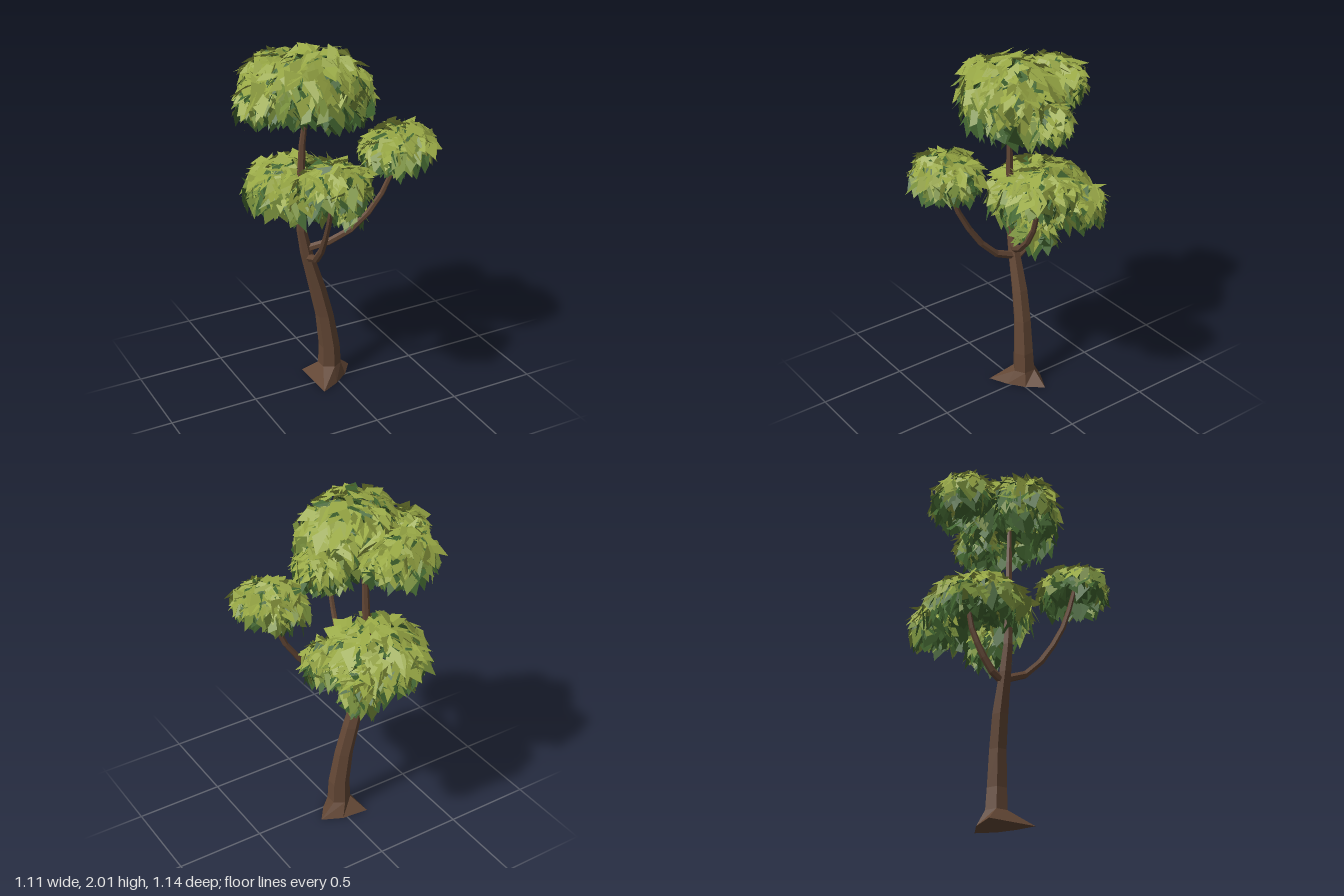
import * as THREE from 'three';

const bark = new THREE.MeshStandardMaterial({ name: 'bark', color: 0x634735, flatShading: true });
const leafMat = (name, color) =>
  new THREE.MeshStandardMaterial({ name, color, flatShading: true, side: THREE.DoubleSide });
const sunLeaf = leafMat('sunlit leaf', 0x98a845);
const midLeaf = leafMat('middle leaf', 0x788f3c);
const shadeLeaf = leafMat('shade leaf', 0x426630);

// Small seeded random generator
let seed = 7;
const rand = () => {
  seed = (seed * 1664525 + 1013904223) % 4294967296;
  return seed / 4294967296;
};
const jitter = (a) => (rand() * 2 - 1) * a;

// Trunk: a six-sided cylinder whose rows follow a list of [x, y, z, radius],
// standing on a three-pointed root flare
function makeTrunk() {
  const foot = [[-0.02, 0.065], [0.07, 0.0], [0.14, -0.09], [0.025, -0.145], [-0.13, -0.16], [-0.125, 0.115]];
  const rows = [
    [-0.01, 0, -0.03, 1], [-0.008, 0.08, -0.047, 0.066], [-0.01, 0.2, -0.045, 0.06],
    [-0.035, 0.4, -0.055, 0.052], [-0.075, 0.58, -0.065, 0.048], [-0.135, 0.8, -0.07, 0.036],
    [-0.165, 0.95, -0.07, 0.028], [-0.168, 1.2, -0.068, 0.023], [-0.16, 1.45, -0.06, 0.018],
    [-0.13, 1.75, -0.04, 0.01],
  ];
  const n = rows.length - 1;
  const geo = new THREE.CylinderGeometry(1, 1, 1, 6, n);
  const p = geo.attributes.position;
  for (let i = 0; i < p.count; i++) {
    const row = Math.round((p.getY(i) + 0.5) * n);
    const [x, y, z, r] = rows[row];
    const px = p.getX(i), pz = p.getZ(i);
    if (row === 0 && Math.hypot(px, pz) > 0.5) {
      const corner = (Math.round(Math.atan2(px, pz) / (Math.PI / 3)) + 6) % 6;
      p.setXYZ(i, foot[corner][0], 0, foot[corner][1]);
    } else {
      p.setXYZ(i, x + px * r, y, z + pz * r);
    }
  }
  geo.computeVertexNormals();
  const mesh = new THREE.Mesh(geo, bark);
  mesh.name = 'trunk';
  return mesh;
}

// Branch: a tube that tapers from r0 to r1
function makeBranch(name, points, r0, r1) {
  const curve = new THREE.CatmullRomCurve3(points.map((q) => new THREE.Vector3(...q)));
  const segs = 6, sides = 6;
  const geo = new THREE.TubeGeometry(curve, segs, 1, sides);
  const p = geo.attributes.position;
  const v = new THREE.Vector3();
  for (let i = 0; i < p.count; i++) {
    const u = Math.floor(i / (sides + 1)) / segs;
    const c = curve.getPointAt(u);
    v.fromBufferAttribute(p, i).sub(c).multiplyScalar(r0 + (r1 - r0) * u).add(c);
    p.setXYZ(i, v.x, v.y, v.z);
  }
  geo.computeVertexNormals();
  const mesh = new THREE.Mesh(geo, bark);
  mesh.name = name;
  return mesh;
}

// One leaf: an uneven four-cornered card hanging along "down"
function addLeaf(out, pos, side, down, size) {
  const corner = (s, d) => pos.clone()
    .addScaledVector(side, s * size).addScaledVector(down, d * size);
  const a = corner(-0.2 + jitter(0.18), -0.52);
  const b = corner(-0.42 + jitter(0.1), 0.1 + jitter(0.2));
  const c = corner(jitter(0.2), 0.82);
  const d = corner(0.42 + jitter(0.1), -0.1 + jitter(0.25));
  for (const q of [a, b, c, a, c, d]) out.push(q.x, q.y, q.z);
}

// Canopy: shells of leaves over a flattened dome; "tilt" raises the +x side
function makeCanopy(name, { x, y, z, rx, ry, rz, tilt = 0 }) {
  const group = new THREE.Group();
  group.name = name;
  const lists = { upperLeaves: [], lowerLeaves: [], underLeaves: [] };
  const area = rx * rz;
  const shells = [
    { count: Math.round(45 + area * 4000), scale: 0.99, spread: 0.09, low: -0.15, under: false },
    { count: Math.round(35 + area * 2800), scale: 0.83, spread: 0.14, low: -0.35, under: true },
  ];
  const power = 2.3;
  for (const { count, scale, spread, low, under } of shells) {
    for (let i = 0; i < count; i++) {
      const h = low + (1 - low) * ((i + rand()) / count);
      const a = i * 2.39996 + jitter(0.3);
      const w = Math.pow(1 - Math.pow(Math.abs(h), power), 1 / power);
      const s = scale + jitter(spread);
      const dx = Math.cos(a) * w, dz = Math.sin(a) * w;
      const pos = new THREE.Vector3(
        x + dx * rx * s, y + h * ry * s + tilt * dx * rx, z + dz * rz * s);
      const normal = new THREE.Vector3(dx / rx, h / ry, dz / rz).normalize();
      const side = new THREE.Vector3(-Math.sin(a), 0, Math.cos(a));
      const down = side.clone().cross(normal).normalize();
      if (down.y > 0) down.negate();
      // random lift, twist and roll keep the surface ragged
      side.applyAxisAngle(normal, jitter(0.6));
      down.applyAxisAngle(normal, jitter(0.6)).addScaledVector(normal, 0.1 + jitter(0.5)).normalize();
      side.addScaledVector(normal, jitter(0.75)).normalize();
      const tone = h + jitter(0.22);
      const list = under || tone < -0.08 ? lists.underLeaves
        : tone > 0.3 ? lists.upperLeaves : lists.lowerLeaves;
      addLeaf(list, pos, side, down, 0.094 + jitter(0.022));
    }
  }
  const mats = { upperLeaves: sunLeaf, lowerLeaves: midLeaf, underLeaves: shadeLeaf };
  for (const [part, coords] of Object.entries(lists)) {
    const geo = new THREE.BufferGeometry();
    geo.setAttribute('position', new THREE.Float32BufferAttribute(coords, 3));
    geo.computeVertexNormals();
    const mesh = new THREE.Mesh(geo, mats[part]);
    mesh.name = part;
    group.add(mesh);
  }
  return group;
}

export function createModel() {
  seed = 7;
  const tree = new THREE.Group();
  tree.name = 'tree';
  tree.add(makeTrunk());

  tree.add(
    makeBranch('leftBranch', [[-0.14, 0.83, -0.07], [0.01, 0.9, 0.02], [0.14, 1.0, 0.06],
      [0.26, 1.17, 0.09], [0.34, 1.4, 0.12]], 0.022, 0.012),
    makeBranch('frontBranch', [[-0.125, 0.77, -0.07], [-0.14, 0.83, 0.07], [-0.16, 0.98, 0.19],
      [-0.175, 1.15, 0.28], [-0.18, 1.38, 0.35]], 0.023, 0.012),
    makeBranch('backBranch', [[-0.125, 0.75, -0.07], [-0.12, 0.8, -0.14], [-0.11, 0.92, -0.21],
      [-0.1, 1.05, -0.26], [-0.1, 1.2, -0.28]], 0.023, 0.012),
  );

  // Crown: one large dome merged with smaller clumps around it
  tree.add(
    makeCanopy('crown', { x: -0.095, y: 1.7, z: -0.01, rx: 0.275, ry: 0.26, rz: 0.24, tilt: -0.05 }),
    makeCanopy('crownSideClump', { x: -0.36, y: 1.69, z: -0.09, rx: 0.135, ry: 0.14, rz: 0.14 }),
    makeCanopy('crownBackClump', { x: -0.16, y: 1.72, z: -0.36, rx: 0.18, ry: 0.155, rz: 0.14 }),
    makeCanopy('crownLowClump', { x: 0.14, y: 1.65, z: -0.08, rx: 0.1, ry: 0.12, rz: 0.13, tilt: -0.1 }),
  );

  // Lower canopies, two of them with a drooping clump at the edge
  tree.add(
    makeCanopy('frontCanopy', { x: -0.18, y: 1.355, z: 0.34, rx: 0.175, ry: 0.125, rz: 0.17, tilt: -0.1 }),
    makeCanopy('leftCanopy', { x: 0.32, y: 1.385, z: 0.11, rx: 0.185, ry: 0.13, rz: 0.18, tilt: 0.14 }),
    makeCanopy('backCanopy', { x: -0.11, y: 1.09, z: -0.23, rx: 0.265, ry: 0.195, rz: 0.27, tilt: -0.06 }),
    makeCanopy('backCanopyFrontClump', { x: 0.1, y: 1.02, z: -0.05, rx: 0.095, ry: 0.14, rz: 0.1, tilt: -0.1 }),
    makeCanopy('backCanopyRearClump', { x: 0.09, y: 1.04, z: -0.39, rx: 0.095, ry: 0.15, rz: 0.1 }),
  );
  return tree;
}
